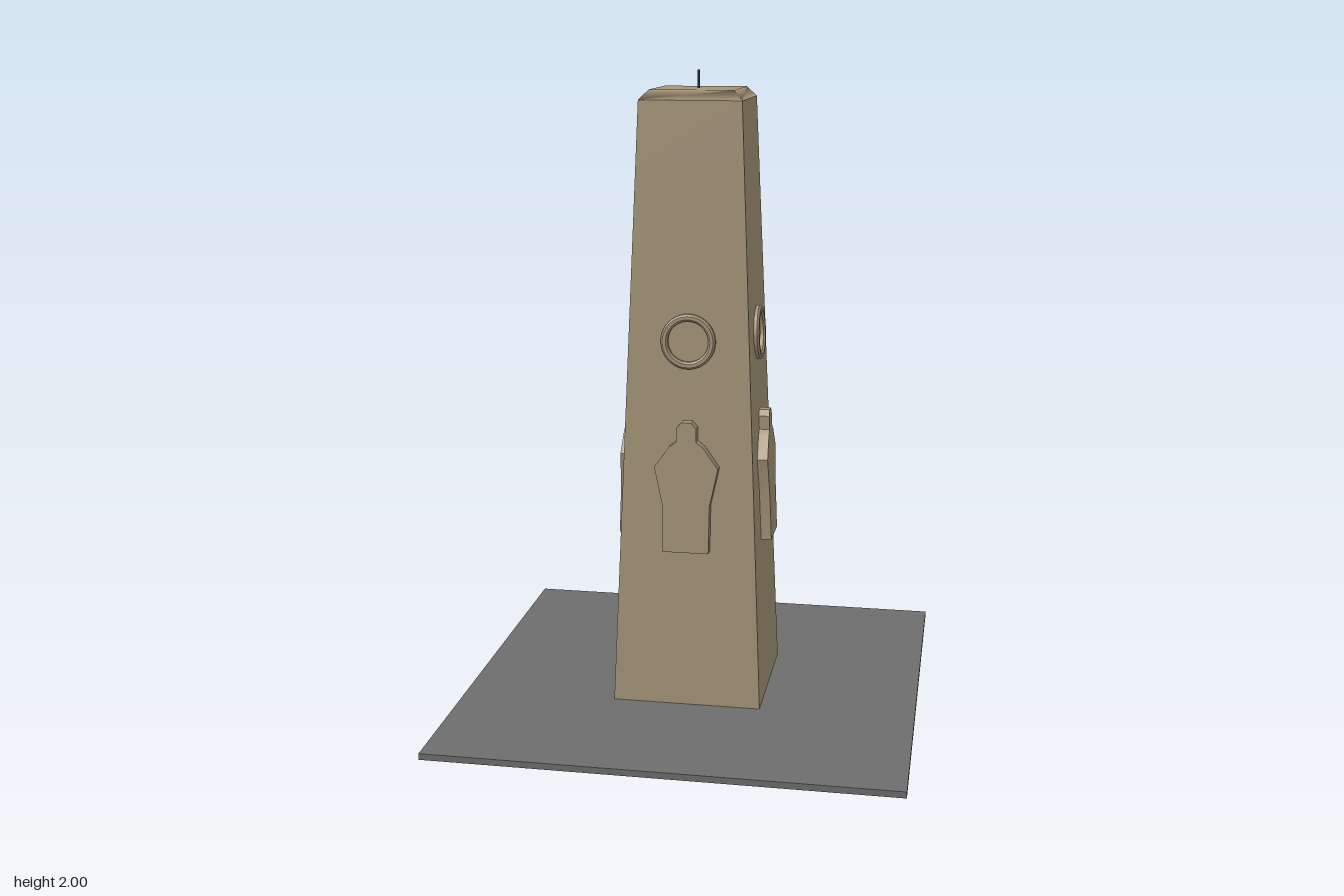
import * as THREE from 'three';
import { mergeVertices, toCreasedNormals } from 'three/addons/utils/BufferGeometryUtils.js';

const BASE_Y = 0.02, TOP_Y = 1.915;
// half width of the tapering shaft at height y
const halfAt = (y) => 0.235 - 0.077 * (y - BASE_Y) / (TOP_Y - BASE_Y);

export function createModel() {
  const model = new THREE.Group();
  model.name = 'obelisk';
  const stone = new THREE.MeshStandardMaterial({ color: 0xa69679 });
  stone.name = 'sandstone';
  const paving = new THREE.MeshStandardMaterial({ color: 0x6e6e6e });
  paving.name = 'greyPaving';
  const iron = new THREE.MeshStandardMaterial({ color: 0x2a2a2a });
  iron.name = 'darkIron';

  function add(parent, name, geometry, material) {
    const mesh = new THREE.Mesh(geometry, material);
    mesh.name = name;
    parent.add(mesh);
    return mesh;
  }

  function shapeOf(points) {
    return new THREE.Shape(points.map(([x, y]) => new THREE.Vector2(x, y)));
  }

  // extrudes an outline and leans it along the sloping face
  function relief(shape, depth, bevel = 0) {
    const sunk = 0.008;
    const geometry = new THREE.ExtrudeGeometry(shape, {
      depth: depth + sunk - bevel, curveSegments: 20,
      bevelEnabled: bevel > 0, bevelSize: bevel, bevelThickness: bevel,
      bevelOffset: -bevel, bevelSegments: 1,
    });
    const p = geometry.attributes.position;
    for (let i = 0; i < p.count; i++) {
      p.setZ(i, p.getZ(i) + halfAt(p.getY(i)) - sunk);
    }
    return toCreasedNormals(geometry, 0.5);
  }

  // ground slab
  add(model, 'groundSlab', new THREE.BoxGeometry(1.445, BASE_Y, 1.445), paving)
    .position.y = BASE_Y / 2;

  // shaft of stacked tapering blocks
  const shaft = new THREE.Group();
  shaft.name = 'shaft';
  model.add(shaft);
  const seams = [BASE_Y, 0.23, 0.44, 0.86, 1.08, 1.28, 1.495, 1.705, TOP_Y];
  for (let i = 0; i < seams.length - 1; i++) {
    const [y0, y1] = [seams[i], seams[i + 1]];
    let block = new THREE.CylinderGeometry(
      halfAt(y1) * Math.SQRT2, halfAt(y0) * Math.SQRT2, y1 - y0, 4);
    block = block.rotateY(Math.PI / 4).toNonIndexed();
    block.computeVertexNormals();
    add(shaft, 'shaftBlock', block, stone).position.y = (y0 + y1) / 2;
  }

  // low cap with soft shading
  let cap = new THREE.BoxGeometry(1, 0.03, 1);
  const cp = cap.attributes.position;
  for (let i = 0; i < cp.count; i++) {
    const w = cp.getY(i) > 0 ? 0.26 : 0.316;
    cp.setXYZ(i, cp.getX(i) * w, cp.getY(i) + TOP_Y + 0.015, cp.getZ(i) * w);
  }
  cap.deleteAttribute('normal');
  cap.deleteAttribute('uv');
  cap = mergeVertices(cap);
  cap.computeVertexNormals();
  add(model, 'cap', cap, stone);

  // thin rod on the cap
  add(model, 'rod', new THREE.CylinderGeometry(0.004, 0.004, 0.06, 8), iron)
    .position.y = 1.97;

  // standing figure and wreath on the front and both sides
  const halfFigure = [
    [0.072, 0.53], [0.074, 0.68], [0.1, 0.8], [0.053, 0.866],
    [0.031, 0.882], [0.031, 0.925], [0.015, 0.943],
  ];
  const figureShape = shapeOf([
    ...halfFigure, ...halfFigure.map(([x, y]) => [-x, y]).reverse(),
  ]);
  const ringShape = new THREE.Shape().absarc(0, 1.19, 0.085, 0, Math.PI * 2);
  ringShape.holes.push(new THREE.Path().absarc(0, 1.19, 0.063, 0, Math.PI * 2, true));
  const figure = relief(figureShape, 0.033);
  const ring = relief(ringShape, 0.016, 0.006);
  const sides = { front: 0, left: Math.PI / 2, right: -Math.PI / 2 };
  for (const [side, angle] of Object.entries(sides)) {
    const face = new THREE.Group();
    face.name = side + 'Relief';
    face.rotation.y = angle;
    add(face, 'standingFigure', figure, stone);
    add(face, 'wreath', ring, stone);
    model.add(face);
  }

  // flag bearer on the back
  const back = new THREE.Group();
  back.name = 'backRelief';
  back.rotation.y = Math.PI;
  model.add(back);
  const bearer = shapeOf([
    [-0.18, 0.375], [0.09, 0.375], [0.09, 0.405], [0.055, 0.42],
    [0.045, 0.58], [0.04, 0.66], [0.075, 0.72], [0.08, 0.8], [0.045, 0.88],
    [0.0, 0.9], [0.003, 0.95], [-0.015, 0.972], [-0.042, 0.972],
    [-0.06, 0.95], [-0.055, 0.9], [-0.1, 0.875], [-0.13, 0.8],
    [-0.175, 0.76], [-0.17, 0.73], [-0.14, 0.735], [-0.095, 0.79],
    [-0.09, 0.66], [-0.115, 0.5], [-0.12, 0.415], [-0.18, 0.405],
  ]);
  add(back, 'flagBearer', relief(bearer, 0.031), stone);
  const flag = shapeOf([
    [-0.07, 1.21], [-0.055, 1.1], [-0.07, 0.99], [0.0, 1.01],
    [0.03, 0.98], [0.072, 0.99], [0.072, 1.215], [0.0, 1.195],
  ]);
  add(back, 'flag', relief(flag, 0.016), stone);
  const pole = shapeOf([[0.07, 0.6], [0.09, 0.6], [0.09, 1.225], [0.07, 1.225]]);
  add(back, 'flagPole', relief(pole, 0.024), stone);

  return model;
}
